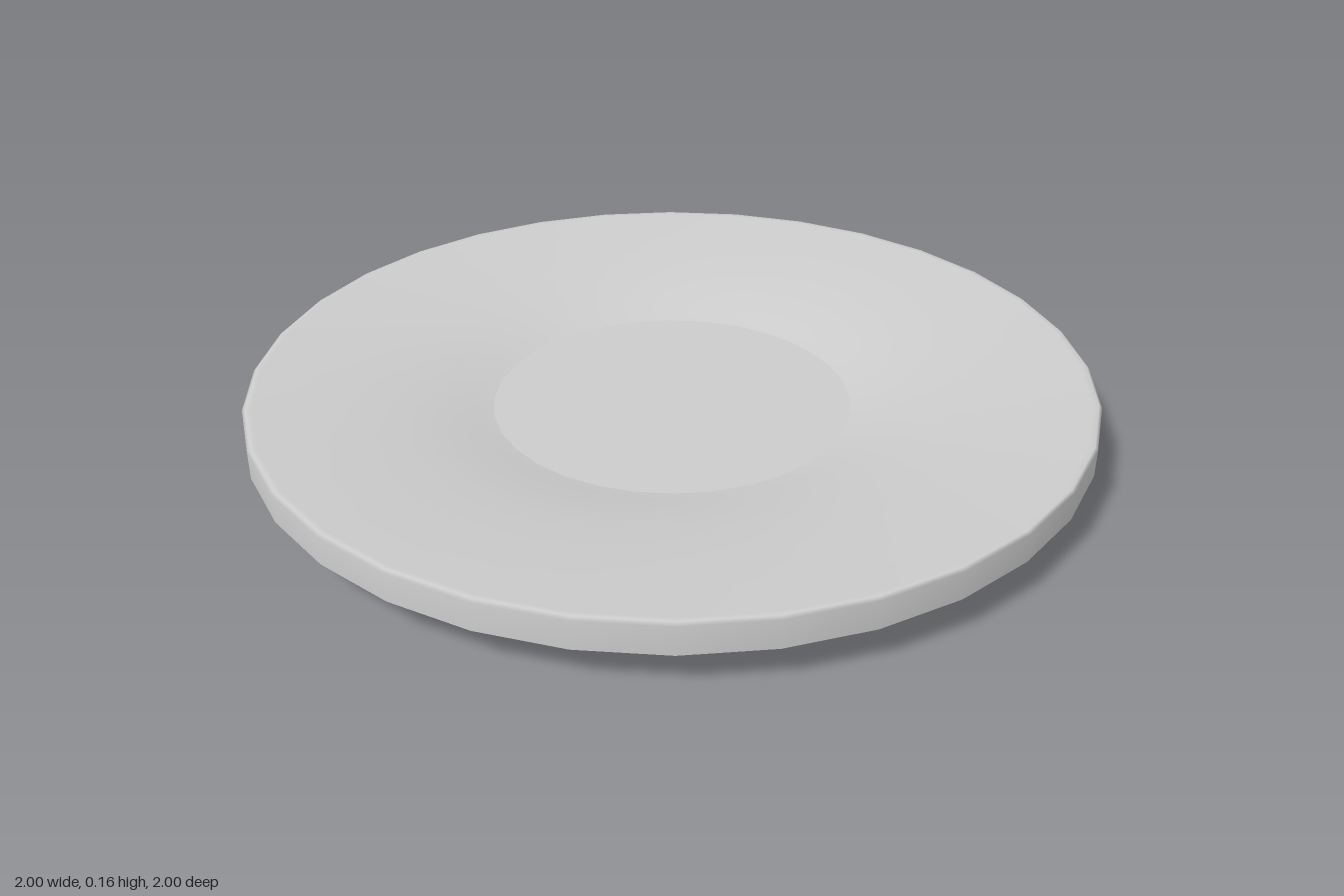
import * as THREE from 'three';

const SIDES = 32;

export function createModel() {
  const group = new THREE.Group();
  group.name = 'saucer';
  const ceramic = new THREE.MeshStandardMaterial({ color: 0xcccccc });
  ceramic.name = 'pale grey ceramic';

  // Each profile runs as [radius, height]; separate parts keep the edges sharp
  const turn = (name, profile) => {
    const points = profile.map(([r, y]) => new THREE.Vector2(r, y));
    const mesh = new THREE.Mesh(new THREE.LatheGeometry(points, SIDES), ceramic);
    mesh.name = name;
    group.add(mesh);
  };

  // Foot ring and the shallow recess inside it
  turn('footRecess', [[0, 0.03], [0.51, 0.03]]);
  turn('footInnerWall', [[0.51, 0.03], [0.51, 0]]);
  turn('footBase', [[0.51, 0], [0.555, 0]]);
  turn('footOuterWall', [[0.555, 0], [0.55, 0.035]]);

  // Sloping underside and upright rim
  turn('underside', [[0.55, 0.035], [0.99, 0.088], [1, 0.092]]);
  turn('rim', [[1, 0.092], [1, 0.158], [0.993, 0.164], [0.98, 0.163]]);

  // Dished upper face, steepest beside the flat well
  turn('dish', [
    [0.98, 0.163], [0.88, 0.154], [0.76, 0.142], [0.64, 0.126],
    [0.54, 0.107], [0.47, 0.089], [0.43, 0.08],
  ]);
  turn('well', [[0.43, 0.08], [0, 0.08]]);

  return group;
}
